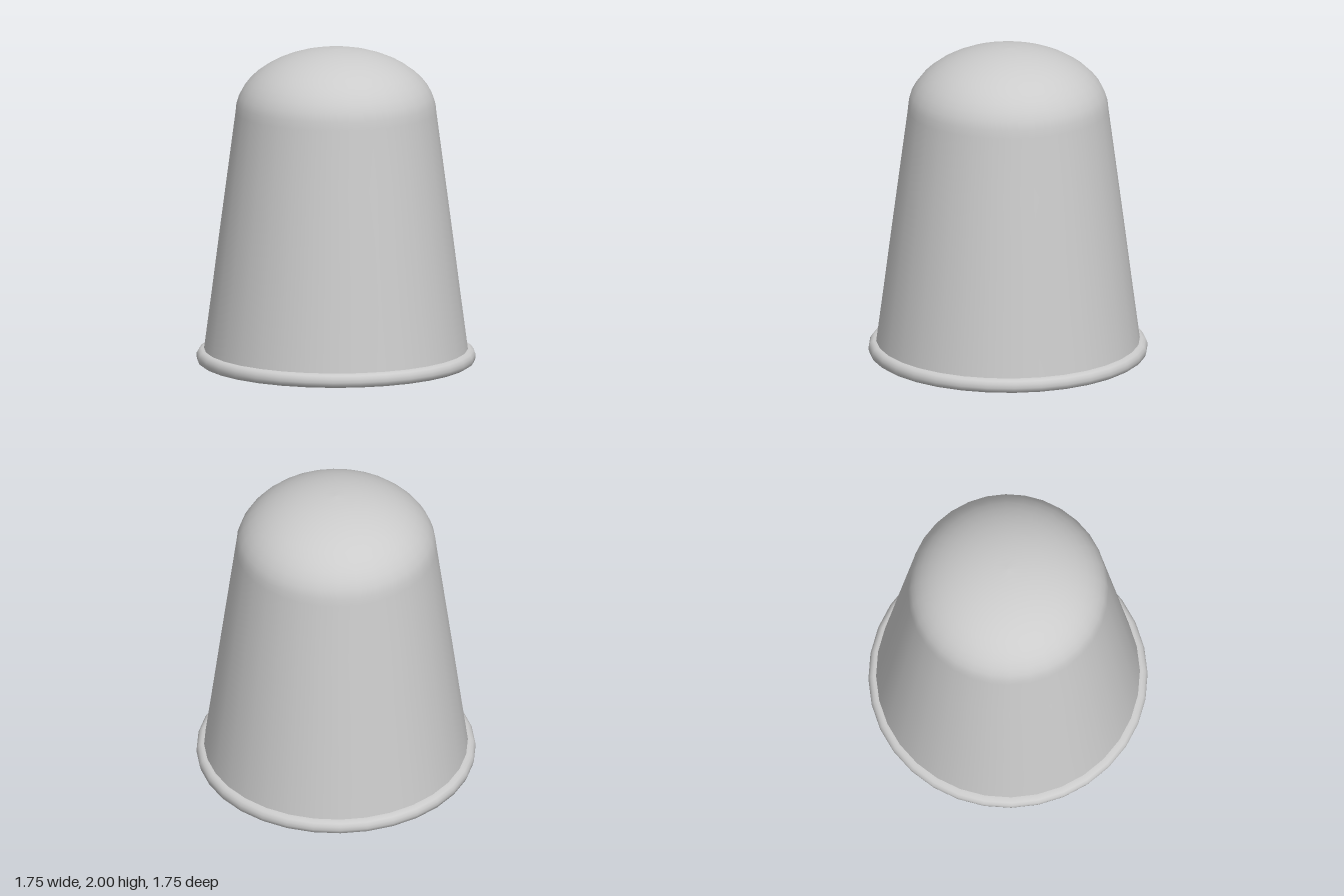
import * as THREE from 'three';

const SIDES = 32;
const material = new THREE.MeshStandardMaterial({ color: 0xcccccc });

// Profile of a cap: quarter ellipse from the axis down to its shoulder
function domeProfile(radius, shoulderY, height, steps = 12) {
  const points = [];
  for (let i = 0; i <= steps; i++) {
    const a = (i / steps) * Math.PI / 2;
    points.push(new THREE.Vector2(radius * Math.sin(a), shoulderY + height * Math.cos(a)));
  }
  return points;
}

function lathe(name, points) {
  const mesh = new THREE.Mesh(new THREE.LatheGeometry(points, SIDES), material);
  mesh.name = name;
  return mesh;
}

const vectors = (pairs) => pairs.map(([r, y]) => new THREE.Vector2(r, y));

export function createModel() {
  const group = new THREE.Group();
  group.name = 'thimble';

  // Outer shell: tapered wall rising into the dome
  const outer = [...vectors([[0.83, 0.07], [0.78, 0.45], [0.73, 0.84], [0.68, 1.22]]),
    ...domeProfile(0.63, 1.6, 0.4).reverse()];
  group.add(lathe('outerShell', outer));

  // Hollow inside, profiled downwards so it faces the axis
  const inner = [...domeProfile(0.56, 1.58, 0.35),
    ...vectors([[0.61, 1.2], [0.66, 0.8], [0.71, 0.4], [0.75, 0.1]])];
  group.add(lathe('innerShell', inner));

  // Straight bore at the mouth
  group.add(lathe('mouthBore', vectors([[0.75, 0.1], [0.75, 0]])));

  // Flat foot and rounded rim around the mouth
  group.add(lathe('rimFoot', vectors([[0.75, 0], [0.85, 0]])));
  group.add(lathe('rim', vectors([
    [0.85, 0], [0.87, 0.012], [0.876, 0.035], [0.874, 0.058], [0.862, 0.077], [0.845, 0.086], [0.82, 0.088],
  ])));

  return group;
}
